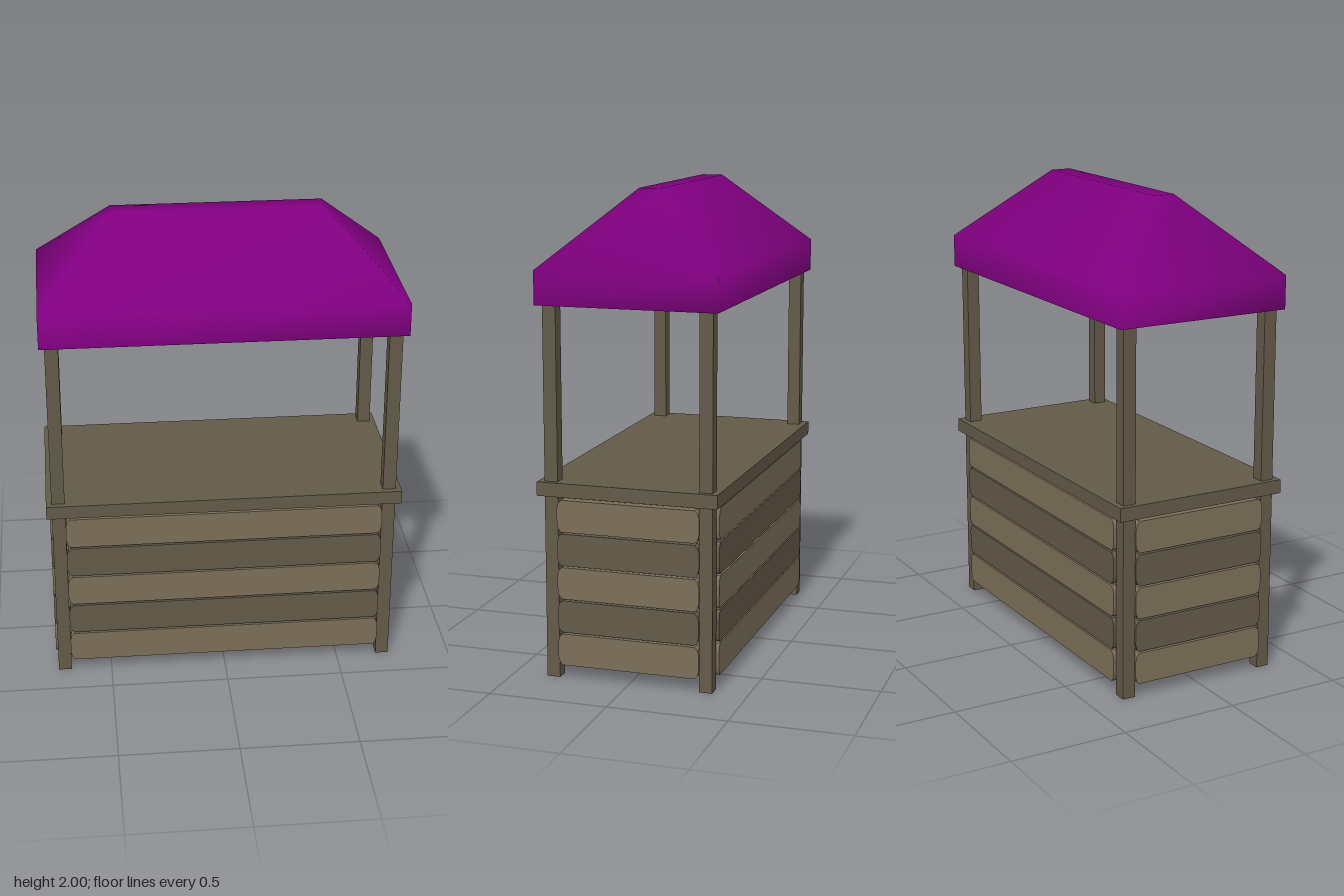
import * as THREE from 'three';

const wood = new THREE.MeshStandardMaterial({ color: 0x635a48 });
const lightWood = new THREE.MeshStandardMaterial({ color: 0x7c6f59 });
const cloth = new THREE.MeshStandardMaterial({ color: 0x800080, side: THREE.DoubleSide });

function addBox(parent, name, w, h, d, x, y, z) {
  const mesh = new THREE.Mesh(new THREE.BoxGeometry(w, h, d), wood);
  mesh.name = name;
  mesh.position.set(x, y, z);
  parent.add(mesh);
}

// Board with clipped, rounded-off corners, centred on its own origin
function plankGeometry(length, height, thickness) {
  const a = length / 2, b = height / 2;
  const right = [[a - 0.018, -b], [a - 0.006, -b + 0.012], [a, -b + 0.035],
    [a, b - 0.035], [a - 0.006, b - 0.012], [a - 0.018, b]];
  const left = right.map(([x, y]) => [-x, -y]);
  const shape = new THREE.Shape([...right, ...left].map(([x, y]) => new THREE.Vector2(x, y)));
  return new THREE.ExtrudeGeometry(shape, { depth: thickness, bevelEnabled: false })
    .translate(0, 0, -thickness / 2);
}

// Open, smooth-shaded canopy: rectangular loops from hem to ridge, closed on top
function canopyGeometry() {
  const loops = [[0.755, 1.55, 0.382], [0.755, 1.69, 0.382], [0.44, 2, 0.045]];
  const positions = [], index = [];
  for (const [x, y, z] of loops) positions.push(x, y, z, x, y, -z, -x, y, -z, -x, y, z);
  for (let l = 0; l < loops.length - 1; l++) {
    for (let i = 0; i < 4; i++) {
      const a = l * 4 + i, b = l * 4 + (i + 1) % 4;
      index.push(a, b, b + 4, a, b + 4, a + 4);
    }
  }
  index.push(8, 9, 10, 8, 10, 11);
  const geometry = new THREE.BufferGeometry();
  geometry.setAttribute('position', new THREE.Float32BufferAttribute(positions, 3));
  geometry.setIndex(index);
  geometry.computeVertexNormals();
  return geometry;
}

export function createModel() {
  const stall = new THREE.Group();
  stall.name = 'marketStall';

  // Corner posts
  const posts = new THREE.Group();
  posts.name = 'posts';
  for (const x of [-0.704, 0.704]) {
    for (const z of [-0.328, 0.328]) addBox(posts, 'post', 0.056, 1.69, 0.056, x, 0.845, z);
  }
  stall.add(posts);

  // Counter top
  addBox(stall, 'counterTop', 1.51, 0.058, 0.764, 0, 0.801, 0);

  // Plank walls between the posts, alternating light and dark
  const walls = new THREE.Group();
  walls.name = 'plankWalls';
  const thickness = 0.04;
  const longPlank = plankGeometry(1.352, 0.134, thickness);
  const shortPlank = plankGeometry(0.604, 0.134, thickness);
  for (let row = 0; row < 5; row++) {
    for (let side = 0; side < 4; side++) {
      const isLong = side % 2 === 0;
      const plank = new THREE.Mesh(isLong ? longPlank : shortPlank, row % 2 ? wood : lightWood);
      const angle = side * Math.PI / 2;
      const offset = (isLong ? 0.368 : 0.741) - thickness / 2;
      plank.name = ['frontPlank', 'leftPlank', 'backPlank', 'rightPlank'][side];
      plank.position.set(Math.sin(angle) * offset, 0.124 + row * 0.1415, Math.cos(angle) * offset);
      plank.rotation.y = angle;
      walls.add(plank);
    }
  }
  stall.add(walls);

  // Cloth roof
  const canopy = new THREE.Mesh(canopyGeometry(), cloth);
  canopy.name = 'canopy';
  stall.add(canopy);

  return stall;
}
